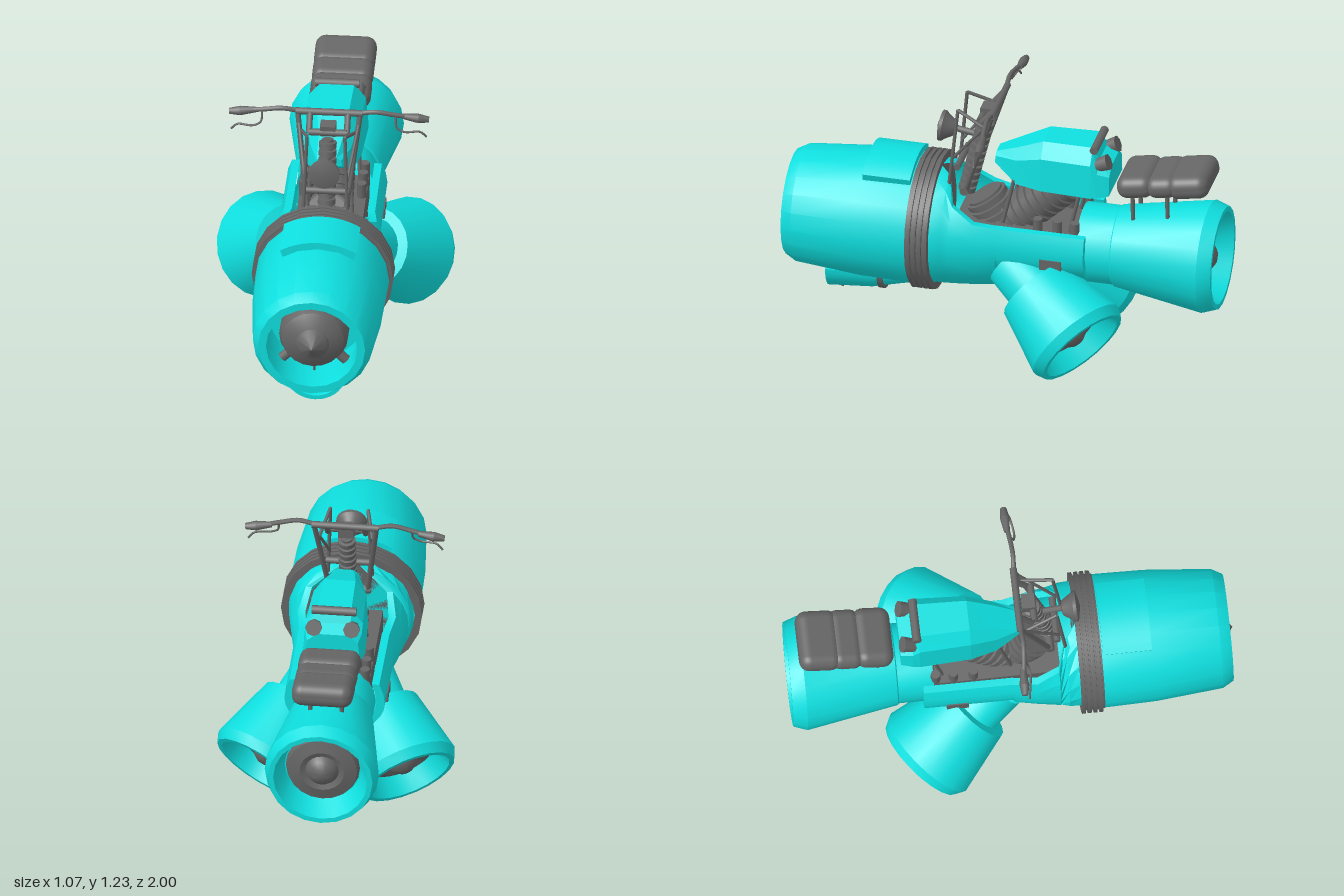
import * as THREE from 'three';
import { toCreasedNormals } from 'three/addons/utils/BufferGeometryUtils.js';
import { RoundedBoxGeometry } from 'three/addons/geometries/RoundedBoxGeometry.js';

const V = (p) => new THREE.Vector3(...p);
const UP = new THREE.Vector3(0, 1, 0);

export function createModel() {
  const model = new THREE.Group();
  const paint = new THREE.MeshStandardMaterial({ color: 0x0fdfdf, side: THREE.DoubleSide });
  const metal = new THREE.MeshStandardMaterial({ color: 0x666666, side: THREE.DoubleSide });

  const add = (name, geo, mat, pos = [0, 0, 0], dir = UP) => {
    const mesh = new THREE.Mesh(geo, mat);
    mesh.name = name;
    mesh.position.set(...pos);
    mesh.quaternion.setFromUnitVectors(UP, dir.clone().normalize());
    model.add(mesh);
    return mesh;
  };
  // Turned part: [radius, height] profile around y
  const turned = (profile, sides = 20) =>
    toCreasedNormals(new THREE.LatheGeometry(profile.map((p) => new THREE.Vector2(...p)), sides), 0.5);
  // Straight bar between two points
  const rod = (name, a, b, r, mat = metal, r2 = r) => {
    const d = V(b).sub(V(a));
    return add(name, new THREE.CylinderGeometry(r2, r, d.length(), 8), mat,
      V(a).add(V(b)).multiplyScalar(0.5).toArray(), d);
  };
  const tube = (name, pts, r) =>
    add(name, new THREE.TubeGeometry(new THREE.CatmullRomCurve3(pts.map(V)), 14, r, 7), metal);
  // Ribbed cylinder of n fins between two points
  const ribbed = (name, a, b, r, groove, n) => {
    const d = V(b).sub(V(a)), step = d.length() / n, profile = [[0, 0]];
    for (let i = 0; i < n; i++) {
      const y = i * step;
      profile.push([r, y], [r, y + step * 0.65], [groove, y + step * 0.7], [groove, y + step]);
    }
    profile.push([0, n * step]);
    return add(name, turned(profile), metal, a, d);
  };
  // Skin over matching closed cross-sections, with end caps
  const loft = (rows, crease = 0.5) => {
    const n = rows[0].length, pos = rows.flat(2), idx = [];
    for (let r = 0; r < rows.length - 1; r++) for (let i = 0; i < n; i++) {
      const a = r * n + i, b = r * n + (i + 1) % n;
      idx.push(a, b, a + n, b, b + n, a + n);
    }
    const last = (rows.length - 1) * n;
    // strips between opposite points close both solid and hollow sections
    for (const o of [0, last]) for (let i = 0; i < n / 2 - 1; i++) {
      const q = [o + i, o + i + 1, o + n - 2 - i, o + n - 1 - i];
      if (o) idx.push(q[0], q[1], q[2], q[0], q[2], q[3]);
      else idx.push(q[0], q[2], q[1], q[0], q[3], q[2]);
    }
    const g = new THREE.BufferGeometry();
    g.setAttribute('position', new THREE.Float32BufferAttribute(pos, 3));
    g.setIndex(idx);
    return toCreasedNormals(g, crease);
  };
  // Open-topped trough section: half width a, depth b, rim height
  const trough = (z, a, b, rim, yc, wall) => {
    const t = Math.asin(Math.min(1, (rim - yc) / a)), outer = [], inner = [];
    for (let i = 0; i <= 18; i++) {
      const ang = t - (Math.PI + 2 * t) * (i / 18), c = Math.cos(ang), s = Math.sin(ang);
      const k = s < 0 ? b : a;
      outer.push([a * c, yc + k * s, z]);
      inner.unshift([(a - wall) * c, s < 0 ? yc + (k - wall) * s : yc + k * s, z]);
    }
    return [...outer, ...inner];
  };

  // Front engine cowl with intake lip
  const Z = new THREE.Vector3(0, 0, 1), yc = 0.577;
  add('frontCowl', turned([[0, 0.29], [0.285, 0.29], [0.3, 0.4], [0.295, 0.63], [0.268, 0.93],
    [0.24, 0.98], [0.205, 0.98], [0.2, 0.9], [0.215, 0.72], [0, 0.72]]), paint, [0, yc, 0], Z);
  ribbed('cowlBands', [0, yc, 0.29], [0, yc, 0.395], 0.318, 0.303, 4);
  add('intakeHub', turned([[0.13, 0.72], [0.155, 0.8], [0.155, 0.87], [0.14, 0.91], [0.11, 0.93],
    [0.075, 0.945], [0.07, 0.955], [0.02, 0.985], [0, 1.0]]), metal, [0, yc, 0], Z);
  for (let i = 0; i < 4; i++) {
    const a = Math.PI * (0.25 + i / 2), c = Math.cos(a), s = Math.sin(a);
    rod('intakeSpoke', [c * 0.14, yc + s * 0.14, 0.84], [c * 0.21, yc + s * 0.21, 0.84], 0.024);
  }
  for (const s of [-1, 1])
    rod('intakeVane', [0, yc + s * 0.14, 0.84], [0, yc + s * 0.21, 0.84], 0.005);

  // Curved access panel on top of the cowl
  const panel = new THREE.Shape();
  panel.absarc(0, 0, 0.328, Math.PI / 2 - 0.55, Math.PI / 2 + 0.55, false);
  panel.absarc(0, 0, 0.27, Math.PI / 2 + 0.6, Math.PI / 2 - 0.6, true);
  add('topPanel', toCreasedNormals(new THREE.ExtrudeGeometry(panel,
    { depth: 0.22, bevelEnabled: false, curveSegments: 8 }), 0.5), paint, [0, yc, 0.4]);

  // Chin scoop
  add('chinScoop', loft([[0.4, 0.1, 0.065], [0.6, 0.128, 0.118], [0.8, 0.137, 0.135]]
    .map(([z, a, b]) => trough(z, a, b, 0.325, 0.325, 0.02))), paint);
  add('scoopBand', loft([0.54, 0.565].map((z) => trough(z, 0.13, 0.118, 0.325, 0.325, 0.03))), metal);
  for (const x of [-0.05, 0, 0.05]) rod('scoopBar', [x, 0.2, 0.74], [x, 0.34, 0.74], 0.006);

  // Open hull around the engine bay
  add('hull', loft([[0.3, 0.285, 0.285, 0.87], [0.24, 0.277, 0.283, 0.845], [0.2, 0.268, 0.28, 0.76],
    [0.1, 0.25, 0.275, 0.695], [0.0, 0.23, 0.265, 0.68], [-0.01, 0.228, 0.2, 0.68],
    [-0.41, 0.226, 0.17, 0.68]].map(([z, a, b, rim]) => trough(z, a, b, rim, yc, 0.038))), paint);
  add('engineBlock', new THREE.BoxGeometry(0.3, 0.18, 0.56), metal, [0, 0.56, -0.07]);

  // Thrust nozzles: one at the rear, one on each side
  const nozzle = (name, pos, dir, len, r0, r1, neck, neckLen) => {
    add(name, turned([[neck, -neckLen], [neck, 0], [r0, 0.005], [r1, len * 0.87], [r1 - 0.022, len],
      [r1 - 0.045, len], [r1 - 0.085, len - 0.11], [0, len - 0.11]]), paint, pos, dir);
    add(name + 'Core', turned([[r1 - 0.09, len - 0.11], [r1 - 0.1, len - 0.08], [0.1, len - 0.065],
      [0.075, len - 0.075], [0.06, len - 0.05], [0.03, len - 0.03], [0, len - 0.025]]), metal, pos, dir);
  };
  nozzle('rearNozzle', [0, 0.558, -0.52], V([0, 0, -1]), 0.48, 0.187, 0.257, 0.18, 0.16);
  for (const s of [-1, 1]) {
    nozzle('sideNozzle', [s * 0.18, 0.385, -0.18], V([s * 0.45, -0.51, -0.73]), 0.35, 0.178, 0.241, 0.13, 0.16);
    add('sideVent', new THREE.BoxGeometry(0.03, 0.05, 0.1), metal, [s * 0.215, 0.54, -0.26]);
  }

  // Finned cylinders in the bay
  ribbed('rearCylinder', [0, 0.6, 0.0], [0, 0.87, -0.29], 0.1, 0.088, 9);
  ribbed('frontCylinder', [0, 0.58, 0.0], [0, 0.74, 0.1], 0.1, 0.085, 5);
  for (const s of [-1, 1]) for (const z of [-0.18, -0.27, -0.35])
    rod('enginePipe', [s * 0.13, 0.6, z], [s * 0.13, 0.72, z], 0.022);

  // Faceted fuel tank
  add('fuelTank', loft([[0.035, 0.06, 0.94, 0.985], [-0.07, 0.1, 0.865, 1.03], [-0.19, 0.128, 0.86, 1.085],
    [-0.42, 0.14, 0.86, 1.088], [-0.45, 0.138, 0.865, 1.03], [-0.505, 0.125, 0.875, 1.005]].map(([z, w, lo, hi]) => {
    const h = hi - lo;
    return [[w, lo, z], [w * 0.92, hi - h * 0.3, z], [w * 0.55, hi, z],
      [-w * 0.55, hi, z], [-w * 0.92, hi - h * 0.3, z], [-w, lo, z]];
  }), 0.1), paint);
  rod('tankBar', [-0.1, 1.085, -0.43], [0.1, 1.085, -0.43], 0.02);
  for (const s of [-1, 1]) {
    rod('tankGauge', [s * 0.085, 1.0, -0.43], [s * 0.085, 1.03, -0.495], 0.03, metal, 0.038);
    rod('tankStrut', [s * 0.1, 0.66, -0.01], [s * 0.09, 0.88, -0.06], 0.009);
    rod('tankStrut', [s * 0.11, 0.66, -0.32], [s * 0.1, 0.88, -0.37], 0.009);
  }

  // Three-lobed saddle on posts
  [[-0.62, 0.925, 0.17, 0.105], [-0.745, 0.94, 0.15, 0.1], [-0.865, 0.957, 0.19, 0.11]].forEach(([z, y, d, h]) => {
    add('saddle', new RoundedBoxGeometry(0.275, h, d, 4, 0.048), metal, [0, y, z]).rotation.x = 0.17;
  });
  for (const s of [-1, 1]) for (const z of [-0.6, -0.76])
    rod('saddlePost', [s * 0.07, 0.7, z - 0.005], [s * 0.07, 0.91, z], 0.01);

  // Steering column, fork and headlamp
  ribbed('steeringSpring', [0, 0.75, 0.18], [0, 1.12, 0.09], 0.04, 0.026, 10);
  add('columnHead', new THREE.BoxGeometry(0.07, 0.05, 0.06), metal, [0, 1.17, 0.08]);
  rod('upperYoke', [-0.085, 1.16, 0.1], [0.085, 1.16, 0.1], 0.016);
  rod('lowerYoke', [-0.105, 0.915, 0.2], [0.105, 0.915, 0.2], 0.016);
  rod('forkFoot', [-0.1, 0.79, 0.17], [0.1, 0.79, 0.17], 0.02);
  rod('handlebarCentre', [-0.15, 1.224, 0.03], [0.15, 1.224, 0.03], 0.016);
  add('headlamp', turned([[0, -0.05], [0.035, -0.04], [0.06, 0], [0.07, 0.01], [0.07, 0.025],
    [0.058, 0.028], [0, 0.04]]), metal, [0, 1.06, 0.275], V([0, 0.1, 1]));
  rod('lampBracket', [0, 1.04, 0.13], [0, 1.06, 0.25], 0.015);
  for (const s of [-1, 1]) {
    rod('forkLeg', [s * 0.14, 1.22, 0.03], [s * 0.085, 0.78, 0.17], 0.012);
    rod('forkBrace', [s * 0.085, 1.2, 0.2], [s * 0.1, 0.8, 0.24], 0.008);
    rod('forkLink', [s * 0.085, 1.2, 0.2], [s * 0.12, 1.14, 0.06], 0.008);
    rod('forkLink', [s * 0.09, 0.95, 0.225], [s * 0.135, 1.18, 0.045], 0.007);
    rod('barRiser', [s * 0.085, 1.15, 0.09], [s * 0.085, 1.224, 0.03], 0.014);
    // Swept handlebar, grip and lever
    tube('handlebar', [[s * 0.13, 1.224, 0.03], [s * 0.21, 1.238, 0.035], [s * 0.29, 1.225, 0.03],
      [s * 0.37, 1.21, 0.02]], 0.011);
    rod('grip', [s * 0.33, 1.215, 0.022], [s * 0.4, 1.205, 0.02], 0.013, metal, 0.022);
    rod('grip', [s * 0.4, 1.205, 0.02], [s * 0.448, 1.2, 0.018], 0.022, metal, 0.014);
    tube('lever', [[s * 0.3, 1.22, 0.035], [s * 0.305, 1.17, 0.05], [s * 0.34, 1.152, 0.055],
      [s * 0.41, 1.15, 0.045], [s * 0.438, 1.122, 0.04]], 0.005);
  }
  return model;
}
